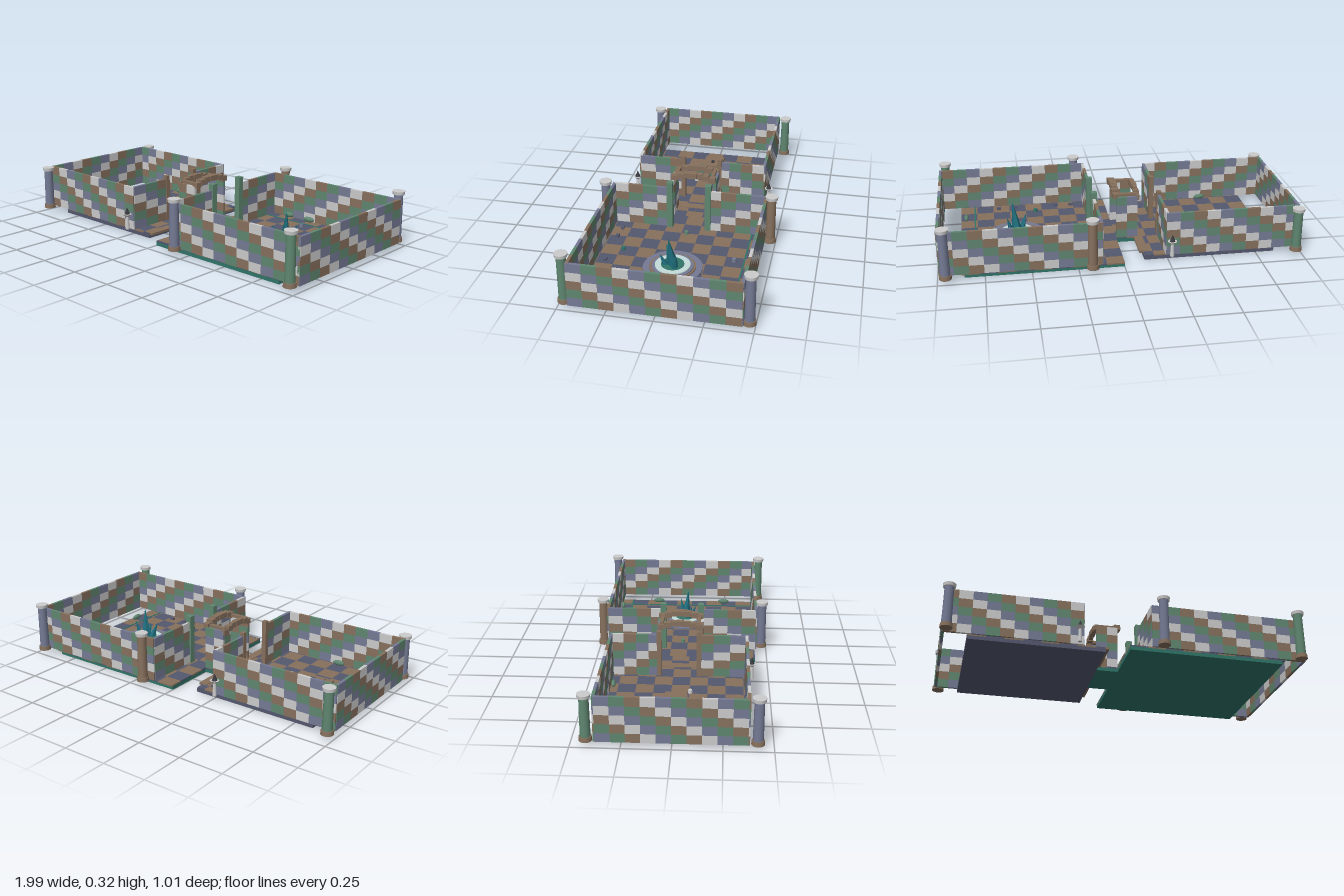
import * as THREE from 'three';
import { mergeGeometries } from 'three/addons/utils/BufferGeometryUtils.js';

const mat = (name, color) => {
  const m = new THREE.MeshStandardMaterial({ color });
  m.name = name;
  return m;
};

export function createModel() {
  const root = new THREE.Group();
  root.name = 'twinCourtyards';
  const slate = mat('slate', 0x747a94), green = mat('mossGreen', 0x5f8670);
  const brown = mat('brown', 0x86705d), light = mat('paleStone', 0xcbcbcb);
  const floorBlue = mat('floorBlue', 0x54586e), teal = mat('teal', 0x2f7468);
  const crystalMat = mat('crystal', 0x1e6d7c), pale = mat('paleWater', 0xc4dcda);
  const dark = mat('darkMetal', 0x3a3a40);

  const add = (name, geo, m, x = 0, y = 0, z = 0, parent = root) => {
    const mesh = new THREE.Mesh(geo, m);
    mesh.name = name;
    mesh.position.set(x, y, z);
    parent.add(mesh);
    return mesh;
  };
  // Box given by its limits on each axis
  const span = (name, m, x0, x1, y0, y1, z0, z1, parent = root) =>
    add(name, new THREE.BoxGeometry(x1 - x0, y1 - y0, z1 - z0), m,
      (x0 + x1) / 2, (y0 + y1) / 2, (z0 + z1) / 2, parent);
  // One mesh per colour from lists of geometries
  const addMerged = (name, lists, mats) => {
    const g = new THREE.Group();
    g.name = name;
    lists.forEach((l, i) => l.length && add(name + 'Part', mergeGeometries(l), mats[i], 0, 0, 0, g));
    root.add(g);
  };

  // Brick wall from (x0,z0) to (x1,z1); the colours step along diagonals
  const wall = (name, x0, z0, x1, z1, phase = 0) => {
    const lists = [[], [], [], []], rows = 5, rh = 0.0495;
    const len = Math.hypot(x1 - x0, z1 - z0), n = Math.max(1, Math.round(len / 0.078));
    const angle = -Math.atan2(z1 - z0, x1 - x0);
    for (let r = 0; r < rows; r++) for (let c = 0; c < n; c++) {
      const t = (c + 0.5) / n;
      const b = new THREE.BoxGeometry(len / n, rh, 0.016).rotateY(angle);
      b.translate(x0 + (x1 - x0) * t, 0.275 - rh * (r + 0.5), z0 + (z1 - z0) * t);
      lists[(c - r + phase + 16) % 4].push(b);
    }
    addMerged(name, lists, [slate, green, brown, light]);
  };

  // Checkered floor tiles
  const tiles = (name, x0, x1, z0, z1, ox, oz) => {
    const lists = [[], []], s = 0.0975;
    const cuts = (a, b, o) => {
      const out = [a];
      for (let v = o; v < b - 0.001; v += s) if (v > a + 0.001) out.push(v);
      return [...out, b];
    };
    const xs = cuts(x0, x1, ox), zs = cuts(z0, z1, oz);
    for (let i = 0; i < xs.length - 1; i++) for (let j = 0; j < zs.length - 1; j++) {
      const b = new THREE.BoxGeometry(xs[i + 1] - xs[i], 0.008, zs[j + 1] - zs[j]);
      b.translate((xs[i] + xs[i + 1]) / 2, 0.024, (zs[j] + zs[j + 1]) / 2);
      lists[(i + j) % 2].push(b);
    }
    addMerged(name, lists, [brown, floorBlue]);
  };

  // Foundations and floors
  span('leftFoundation', floorBlue, -0.855, -0.12, 0, 0.02, -0.37, 0.37);
  span('rightFoundation', teal, 0, 0.86, 0, 0.02, -0.43, 0.43);
  span('passageFoundation', teal, -0.12, 0, 0, 0.02, -0.13, 0.13);
  tiles('leftFloor', -0.855, -0.125, -0.37, 0.37, -0.855, -0.325);
  tiles('rightFloor', 0, 0.875, -0.44, 0.43, 0, -0.36);
  tiles('passageFloor', -0.125, 0, -0.13, 0.13, -0.06, -0.05);
  span('thresholdStep', brown, -0.15, -0.1, 0.018, 0.031, -0.32, 0.365);
  span('floorInlay', teal, 0.12, 0.87, 0.026, 0.031, -0.368, -0.36);
  span('floorInlay', teal, 0.79, 0.798, 0.026, 0.031, -0.44, 0.43);

  // Left courtyard walls
  wall('leftFrontWall', -0.985, 0.372, -0.24, 0.372, 2);
  wall('leftBackWall', -0.24, -0.375, -0.985, -0.375);
  wall('leftEndWall', -0.98, -0.375, -0.98, 0.372);
  wall('leftGateWall', -0.245, 0.372, -0.245, 0.1);
  wall('leftGateWall', -0.245, -0.1, -0.245, -0.375);

  // Right courtyard walls
  wall('rightFrontWall', 0.12, 0.432, 0.99, 0.432);
  wall('rightBackWall', 0.99, -0.437, 0.12, -0.437);
  wall('rightEndWall', 0.985, 0.44, 0.985, -0.44);
  wall('rightGateWall', 0.125, -0.437, 0.125, -0.1);
  wall('rightGateWall', 0.125, 0.1, 0.125, 0.432);

  // Gate posts
  for (const s of [-1, 1]) {
    add('rightGatePost', new THREE.BoxGeometry(0.034, 0.285, 0.034), green, 0.125, 0.168, s * 0.11);
    add('leftGatePost', new THREE.BoxGeometry(0.026, 0.27, 0.026), brown, -0.245, 0.16, s * 0.11);
    wall('passageWall', -0.122, s * 0.122, 0, s * 0.122, s + 1);
  }

  // Stepped arches over the passage, tied by cross beams
  for (const [x, w, top] of [[-0.12, 0.03, 0.305], [0, 0.04, 0.318]]) {
    for (let i = -3; i <= 3; i++) {
      const drop = [0, 0.002, 0.009, 0.022][Math.abs(i)];
      add('archStone', new THREE.BoxGeometry(w - (i % 2 ? 0.006 : 0), 0.03, 0.039), brown,
        x, top - 0.015 - drop, i * 0.036);
    }
  }
  for (const z of [-0.105, 0.105])
    add('archBeam', new THREE.BoxGeometry(0.12, 0.018, 0.02), brown, -0.06, 0.282, z);

  // Corner columns: base, shaft and cap
  const column = (x, z, top, m) => {
    const g = new THREE.Group();
    g.name = 'cornerColumn';
    g.position.set(x, 0, z);
    root.add(g);
    add('columnBase', new THREE.CylinderGeometry(0.032, 0.034, 0.024, 16), brown, 0, 0.037, 0, g);
    add('columnShaft', new THREE.CylinderGeometry(0.025, 0.027, top - 0.065, 16), m, 0, (top + 0.03) / 2, 0, g);
    add('columnCap', new THREE.CylinderGeometry(0.035, 0.033, 0.018, 16), light, 0, top - 0.009, 0, g);
  };
  column(-0.965, 0.42, 0.278, slate);
  column(-0.965, -0.422, 0.278, green);
  column(0.178, 0.468, 0.31, slate);
  column(0.178, -0.472, 0.31, brown);
  column(0.956, 0.468, 0.31, green);
  column(0.956, -0.472, 0.31, slate);

  // Lanterns outside the left courtyard
  for (const z of [0.403, -0.405]) {
    add('lanternStem', new THREE.CylinderGeometry(0.008, 0.012, 0.08, 10), light, -0.267, 0.07, z);
    add('lanternBowl', new THREE.CylinderGeometry(0.026, 0.012, 0.014, 12), light, -0.267, 0.112, z);
    add('lanternFlame', new THREE.ConeGeometry(0.016, 0.04, 8), dark, -0.267, 0.138, z);
  }

  // Fountain basin with a crystal cluster
  const disc = (name, r, y0, y1, m, x) =>
    add(name, new THREE.CylinderGeometry(r, r, y1 - y0, 32), m, x, (y0 + y1) / 2, 0);
  disc('basinStep', 0.16, 0.02, 0.036, slate, 0.555);
  disc('basinRim', 0.125, 0.036, 0.042, brown, 0.555);
  disc('basinRing', 0.112, 0.042, 0.047, slate, 0.555);
  disc('basinWater', 0.095, 0.047, 0.052, pale, 0.555);
  disc('basinInlay', 0.062, 0.052, 0.055, teal, 0.555);
  const shards = [[0, 0, 0.18, 0.032, 0.1, -0.12], [-0.025, 0.02, 0.1, 0.022, 0.25, 0.3],
    [0.03, -0.015, 0.11, 0.022, -0.15, -0.25], [0.01, 0.035, 0.08, 0.018, 0.4, -0.1]];
  for (const [x, z, h, r, rx, rz] of shards) {
    const geo = new THREE.ConeGeometry(r, h, 5).toNonIndexed();
    geo.computeVertexNormals();
    geo.translate(0, h / 2, 0);
    add('crystalShard', geo, crystalMat, 0.555 + x, 0.045, z).rotation.set(rx, 0, rz);
  }

  // Altar on a round dais
  disc('altarDais', 0.105, 0.026, 0.033, teal, -0.61);
  span('altarBase', brown, -0.71, -0.55, 0.03, 0.055, -0.045, 0.045);
  span('altarTop', brown, -0.73, -0.53, 0.055, 0.072, -0.06, 0.06);
  span('altarPanel', brown, -0.69, -0.57, 0.072, 0.08, -0.035, 0.035);
  span('altarSlot', dark, -0.645, -0.615, 0.08, 0.084, -0.01, 0.01);

  // Leafy tufts beside the walls
  const leaves = [[0.845, -0.19, 1], [0.845, 0.24, 1], [0.4, -0.418, 0], [0.75, -0.42, 0], [0.25, -0.42, 0],
    [-0.76, -0.352, 0], [-0.59, -0.352, 0], [-0.39, -0.352, 0], [-0.6, 0.35, 0]];
  for (const [x, z, turned] of leaves) {
    const leaf = add('leafTuft', new THREE.SphereGeometry(1, 10, 6), green, x, 0.042, z);
    leaf.scale.set(0.036, 0.016, 0.013);
    leaf.rotation.y = turned ? Math.PI / 2 : 0.1;
  }

  // Small floor markers and loose stones
  for (const [x, z, m] of [[0.43, -0.31, slate], [0.43, 0.305, teal], [0.2, 0, green], [-0.455, 0.07, light]])
    add('floorMarker', new THREE.CylinderGeometry(0.011, 0.013, 0.02, 8), m, x, 0.037, z);
  for (const [x, z] of [[0.21, 0.37], [0.3, 0.375], [0.55, 0.375], [0.65, 0.37]])
    add('looseStone', new THREE.BoxGeometry(0.025, 0.012, 0.018), floorBlue, x, 0.033, z);
  return root;
}
